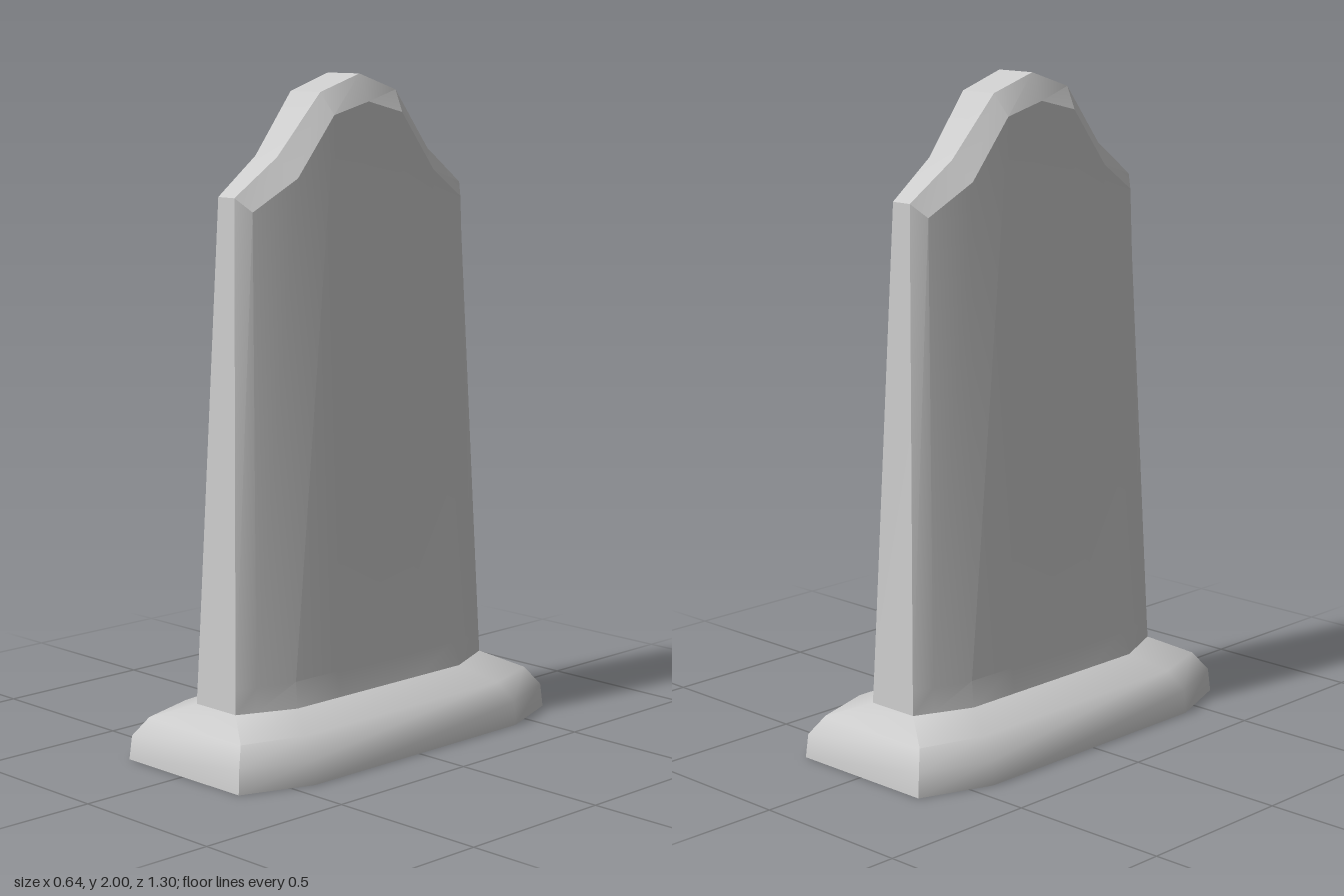
import * as THREE from 'three';
import { toCreasedNormals } from 'three/addons/utils/BufferGeometryUtils.js';

const material = new THREE.MeshStandardMaterial({ color: 0xcccccc, side: THREE.DoubleSide });

// Skin a grid of [x, y, z] rows; each row runs the same way around
function skin(rows, closed, out) {
  for (let r = 0; r < rows.length - 1; r++) {
    const n = rows[r].length;
    for (let i = 0; i < (closed ? n : n - 1); i++) {
      const j = (i + 1) % n;
      const a = rows[r][i], b = rows[r][j], c = rows[r + 1][j], d = rows[r + 1][i];
      out.push(...a, ...b, ...c, ...a, ...c, ...d);
    }
  }
}

function makeMesh(name, positions, crease) {
  const geometry = new THREE.BufferGeometry();
  geometry.setAttribute('position', new THREE.Float32BufferAttribute(positions, 3));
  const mesh = new THREE.Mesh(toCreasedNormals(geometry, crease), material);
  mesh.name = name;
  return mesh;
}

// Octagonal plinth, hollow below, rounding in to the foot of the slab
function createPlinth() {
  // y, side x, side z, end x, end z
  const levels = [
    [0, 0.322, 0.43, 0.24, 0.65],
    [0.072, 0.317, 0.428, 0.235, 0.643],
    [0.128, 0.262, 0.41, 0.2, 0.605],
    [0.175, 0.16, 0.345, 0.085, 0.52],
  ];
  const rows = levels.map(([y, sx, sz, ex, ez]) => [
    [sx, y, sz], [sx, y, -sz], [ex, y, -ez], [-ex, y, -ez],
    [-sx, y, -sz], [-sx, y, sz], [-ex, y, ez], [ex, y, ez],
  ]);
  const positions = [];
  skin(rows, true, positions);
  return makeMesh('plinth', positions, 0.8);
}

// Upright tapering slab with a bevelled, peaked crown
function createSlab() {
  // Columns from the middle to the end: foot, flare, rim, crown
  const half = [
    [[0.16, 0.175, 0], [0.145, 0.25, 0], [0.105, 1.92, 0], [0.066, 2, 0]],
    [[0.16, 0.175, 0.17], [0.145, 0.25, 0.165], [0.105, 1.885, 0.14], [0.062, 1.95, 0.155]],
    [[0.16, 0.175, 0.345], [0.143, 0.25, 0.335], [0.1, 1.71, 0.28], [0.046, 1.77, 0.31]],
    [[0.11, 0.175, 0.462], [0.108, 0.25, 0.459], [0.072, 1.62, 0.43], [0.034, 1.66, 0.465]],
    [[0.085, 0.175, 0.52], [0.082, 0.25, 0.517], [0.034, 1.66, 0.465], [0.034, 1.66, 0.465]],
  ];
  const flip = (p, sx, sz) => [p[0] * sx, p[1], p[2] * sz];
  // Columns of the +x face, front to back
  const right = [
    ...half.slice().reverse(),
    ...half.slice(1).map((col) => col.map((p) => flip(p, 1, -1))),
  ];
  const left = right.map((col) => col.map((p) => flip(p, -1, 1)));
  const rowsOf = (cols) => [0, 1, 2, 3].map((r) => cols.map((col) => col[r]));
  const positions = [];

  // Broad faces with their bevels
  skin(rowsOf(right), false, positions);
  skin(rowsOf(left.slice().reverse()), false, positions);

  // Narrow ends
  const last = right.length - 1;
  for (const [a, b] of [[left[0], right[0]], [right[last], left[last]]]) {
    skin([0, 1, 3].map((r) => [a[r], b[r]]), false, positions);
  }

  // Crown strip over the top
  const crown = right.slice(1, -1).map((col) => [flip(col[3], -1, 1), col[3]]);
  skin(crown, false, positions);

  // Drop zero-area triangles where the corner columns meet the crown
  const clean = [];
  const t = new THREE.Triangle();
  for (let i = 0; i < positions.length; i += 9) {
    t.a.fromArray(positions, i);
    t.b.fromArray(positions, i + 3);
    t.c.fromArray(positions, i + 6);
    if (t.getArea() > 1e-7) clean.push(...positions.slice(i, i + 9));
  }
  return makeMesh('slab', clean, 0.42);
}

export function createModel() {
  const model = new THREE.Group();
  model.name = 'gravestone';
  model.add(createPlinth(), createSlab());
  return model;
}
